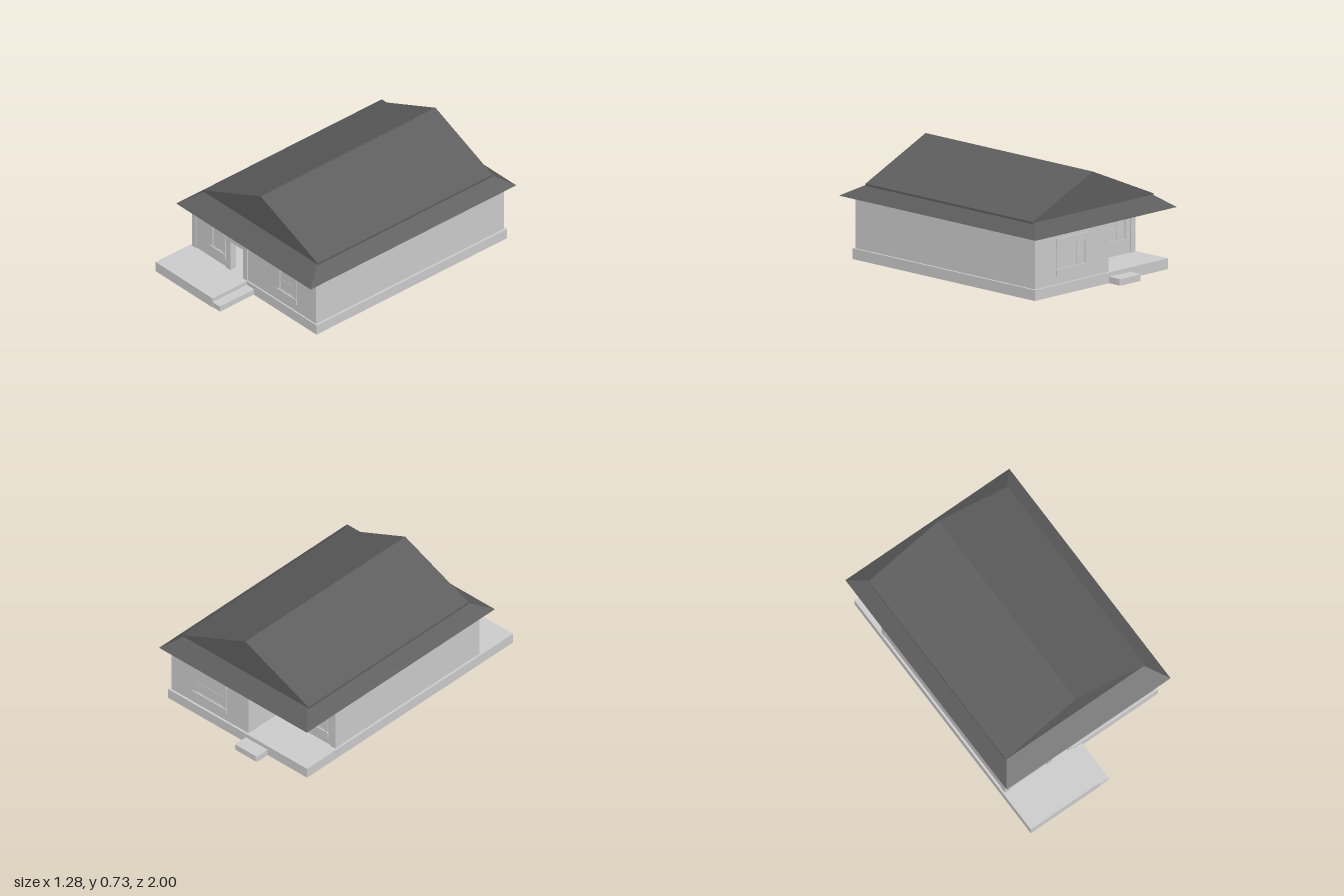
import * as THREE from 'three';

export function createModel() {
  const house = new THREE.Group();
  house.name = 'house';
  const grey = new THREE.MeshStandardMaterial({ color: 0xcccccc });
  const dark = new THREE.MeshStandardMaterial({ color: 0x5d5d5d });

  const add = (name, geometry, material = grey, parent = house) => {
    const mesh = new THREE.Mesh(geometry, material);
    mesh.name = name;
    parent.add(mesh);
    return mesh;
  };
  // Box given by its limits on each axis
  const box = (name, x0, x1, y0, y1, z0, z1, parent = house, material = grey) => {
    const mesh = add(name, new THREE.BoxGeometry(x1 - x0, y1 - y0, z1 - z0), material, parent);
    mesh.position.set((x0 + x1) / 2, (y0 + y1) / 2, (z0 + z1) / 2);
    return mesh;
  };
  const group = (name) => {
    const g = new THREE.Group();
    g.name = name;
    house.add(g);
    return g;
  };

  const FLOOR = 0.07, EAVE = 0.405, DOOR = 0.29;

  // Hollow foundation: strips under the walls and around the porches
  const foundation = group('foundation');
  [
    [0.56, 0.6, -0.9, 0.71], [-0.6, -0.56, -0.9, 1],
    [-0.56, 0.56, -0.9, -0.86], [-0.08, 0.56, 0.67, 0.71], [-0.56, -0.24, 0.67, 0.71],
    [-0.56, -0.06, 0.96, 1], [-0.1, -0.06, 0.71, 0.96],
  ].forEach(([x0, x1, z0, z1]) => box('foundationStrip', x0, x1, 0, FLOOR, z0, z1, foundation));

  // Floors with their dark undersides
  [['houseFloor', -0.59, 0.59, -0.89, 0.7], ['frontPorchFloor', -0.59, -0.07, 0.7, 0.99]]
    .forEach(([name, x0, x1, z0, z1]) => {
      box(name, x0, x1, 0.06, FLOOR, z0, z1);
      box(name + 'Underside', x0, x1, 0.056, 0.06, z0, z1, house, dark);
    });

  // Steps
  box('frontStep', -0.06, 0.005, 0, 0.035, 0.71, 0.995);
  box('frontStepTread', -0.06, 0.008, 0.033, 0.042, 0.71, 1);
  const step = new THREE.Shape();
  step.moveTo(-0.26, -0.9);
  step.lineTo(-0.26, -0.985);
  step.quadraticCurveTo(-0.26, -1, -0.245, -1);
  step.lineTo(-0.085, -1);
  step.quadraticCurveTo(-0.07, -1, -0.07, -0.985);
  step.lineTo(-0.07, -0.9);
  const backStep = add('backStep', new THREE.ExtrudeGeometry(step, { depth: 0.042, bevelEnabled: false, curveSegments: 4 }));
  backStep.rotation.x = Math.PI / 2;
  backStep.position.y = 0.042;
  backStep.scale.z = 1;

  // Outer walls, leaving the back corner porch open
  const walls = group('outerWalls');
  [
    [0.545, 0.585, -0.885, 0.7],
    [-0.585, -0.545, -0.62, 0.7],
    [-0.1, 0.545, 0.66, 0.7], [-0.545, -0.22, 0.66, 0.7],
    [-0.08, 0.545, -0.885, -0.845],
    [-0.08, -0.04, -0.845, -0.58],
    [-0.1, -0.08, -0.62, -0.58], [-0.545, -0.22, -0.62, -0.58],
  ].forEach(([x0, x1, z0, z1]) => box('wall', x0, x1, FLOOR, EAVE, z0, z1, walls));
  box('wallOverFrontDoor', -0.22, -0.1, DOOR, EAVE, 0.66, 0.7, walls);
  box('wallOverBackDoor', -0.22, -0.1, DOOR, EAVE, -0.62, -0.58, walls);
  box('frontCornerPost', -0.588, -0.545, FLOOR, EAVE, 0.66, 0.706, walls);
  box('backCornerPost', -0.588, -0.545, FLOOR, EAVE, -0.626, -0.58, walls);

  // Inner partitions reach down to the ground
  const partitions = group('partitions');
  [
    [0.22, 0.56, -0.18, -0.14], [0.22, 0.26, -0.32, -0.18],
    [0.08, 0.12, 0.18, 0.6], [0, 0.08, 0.18, 0.22],
    [0.04, 0.08, -0.86, -0.58], [0.04, 0.08, -0.44, -0.22], [0.08, 0.16, -0.26, -0.22],
    [0.16, 0.2, -0.06, 0.04],
    [-0.56, -0.44, -0.02, 0.02],
  ].forEach(([x0, x1, z0, z1]) => box('partition', x0, x1, 0, EAVE, z0, z1, partitions));
  [[-0.56, -0.23], [-0.09, -0.04]].forEach(([x0, x1]) =>
    box('backRoomFooting', x0, x1, 0, FLOOR, -0.63, -0.58, partitions));

  // Casing on a wall face at z; dir is the way the face looks
  const onFace = (parent, z, dir) => (name, x0, x1, y0, y1, out) =>
    box(name, x0, x1, y0, y1, Math.min(z, z + dir * out), Math.max(z, z + dir * out), parent);

  const doorCasing = (name, z, dir) => {
    const part = onFace(group(name), z, dir);
    part('leftJamb', -0.1, -0.062, FLOOR, DOOR, 0.008);
    part('rightJamb', -0.26, -0.22, FLOOR, DOOR, 0.008);
    part('header', -0.262, -0.058, DOOR, 0.335, 0.01);
  };
  doorCasing('frontDoorCasing', 0.7, 1);
  doorCasing('backDoorCasing', -0.62, -1);

  // Window: lintel, sill, side casings, pane frame and bars
  const windowUnit = (name, x0, x1, z, dir, cols, rows, ear = 0.025) => {
    const part = onFace(group(name), z, dir);
    const lo = 0.165, hi = 0.32, bar = 0.008;
    part('lintel', x0 - ear, x1 + ear, hi, 0.365, 0.008);
    part('sill', x0 - ear, x1 + ear, 0.125, lo, 0.012);
    part('pane', x0, x1, lo, hi, 0.001);
    part('leftCasing', x1, x1 + ear * 0.8, lo, hi, 0.006);
    part('rightCasing', x0 - ear * 0.8, x0, lo, hi, 0.006);
    for (let i = 0; i <= cols; i++) {
      const x = x0 + bar / 2 + ((x1 - x0 - bar) * i) / cols;
      part('uprightBar', x - bar / 2, x + bar / 2, lo, hi, 0.004);
    }
    for (let j = 0; j <= rows; j++) {
      const y = lo + bar / 2 + ((hi - lo - bar) * j) / rows;
      part('crossBar', x0, x1, y - bar / 2, y + bar / 2, 0.0035);
    }
  };
  windowUnit('frontWideWindow', 0.245, 0.38, 0.7, 1, 2, 2);
  windowUnit('frontNarrowWindow', -0.39, -0.292, 0.7, 1, 1, 1);
  windowUnit('backWindow', 0.13, 0.37, -0.885, -1, 3, 2);
  windowUnit('backPorchWindow', -0.5, -0.35, -0.62, -1, 2, 2);

  // Table, stool and things on the table
  const table = group('table');
  box('tableTop', -0.3, -0.11, 0.148, 0.157, 0, 0.2, table);
  for (const x of [-0.295, -0.13]) for (const z of [0.005, 0.185])
    box('tableLeg', x, x + 0.01, FLOOR, 0.148, z, z + 0.01, table);
  box('tray', -0.19, -0.13, 0.157, 0.175, 0.07, 0.13, table);
  [[-0.22, 0.04], [-0.186, 0.03]].forEach(([x, z]) =>
    add('jar', new THREE.CylinderGeometry(0.007, 0.007, 0.043, 10), grey, table).position.set(x + 0.007, 0.178, z));
  for (let i = 0; i < 3; i++)
    box('cup', -0.168 + i * 0.012, -0.161 + i * 0.012, 0.175, 0.185, 0.09, 0.1, table);
  const stool = group('stool');
  box('seat', -0.187, -0.123, 0.118, 0.126, 0.22, 0.28, stool);
  for (const x of [-0.182, -0.136]) for (const z of [0.224, 0.268])
    box('stoolLeg', x, x + 0.008, FLOOR, 0.118, z, z + 0.008, stool);
  box('stoolRail', -0.182, -0.128, 0.09, 0.096, 0.268, 0.276, stool);

  // Sloping eave: a box whose top is drawn in
  const eave = new THREE.BoxGeometry(2, 1, 2);
  const p = eave.attributes.position;
  for (let i = 0; i < p.count; i++) {
    const top = p.getY(i) > 0;
    const front = p.getZ(i) > 0;
    p.setXYZ(i, Math.sign(p.getX(i)) * (top ? 0.535 : 0.638), top ? 0.482 : 0.404,
      front ? (top ? 0.65 : 0.793) : (top ? -0.828 : -0.943));
  }
  eave.computeVertexNormals();
  add('eaveRoof', eave, dark);

  // Gabled main roof
  const gable = new THREE.Shape([
    [-0.543, 0.474], [0.543, 0.474], [0.543, 0.49], [0.003, 0.725], [-0.543, 0.49],
  ].map(([x, y]) => new THREE.Vector2(x, y)));
  add('gableRoof', new THREE.ExtrudeGeometry(gable, { depth: 1.476, bevelEnabled: false }), dark).position.z = -0.826;

  return house;
}
